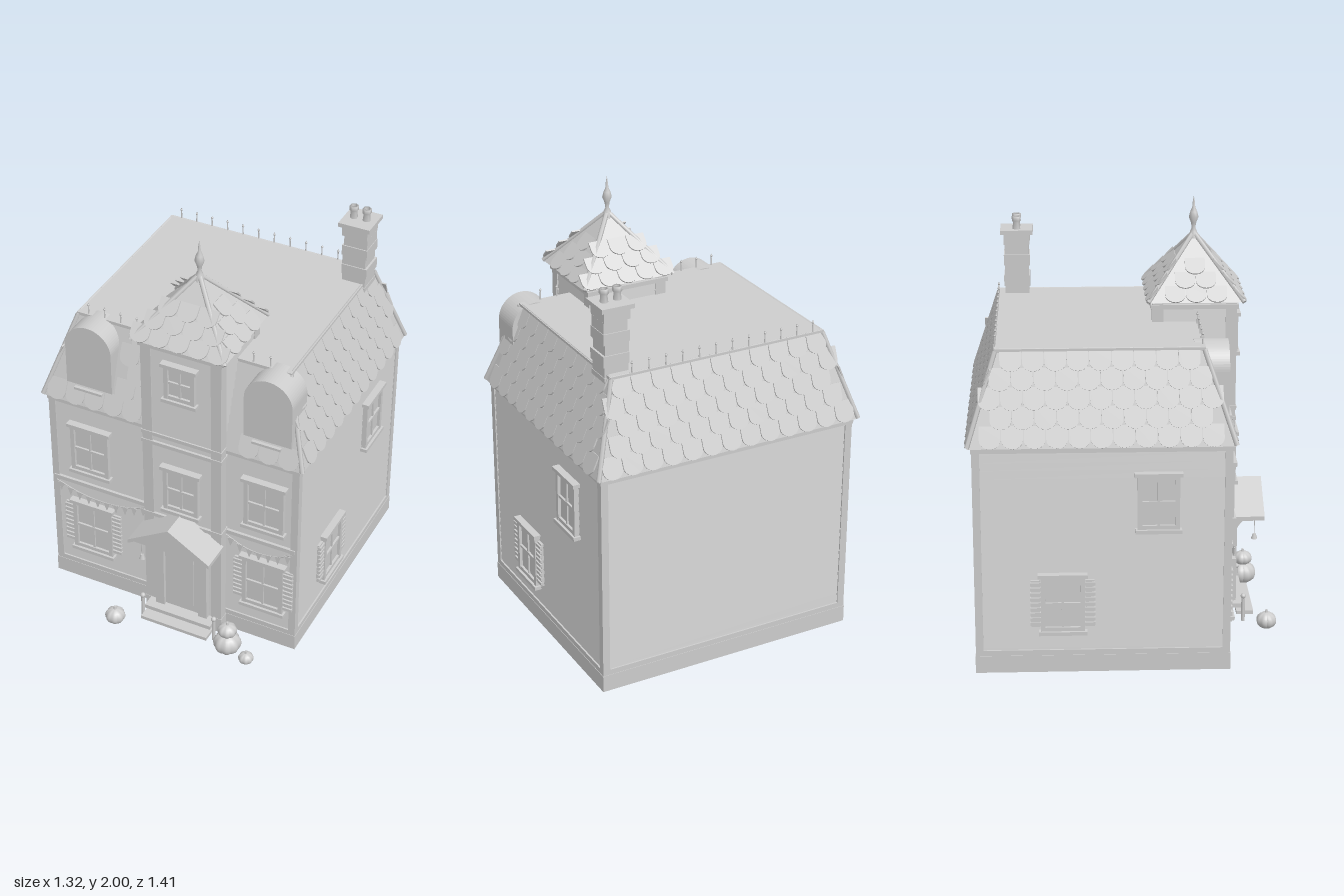
import * as THREE from 'three';
import { mergeGeometries } from 'three/addons/utils/BufferGeometryUtils.js';

const stone = new THREE.MeshStandardMaterial({ color: 0xcccccc, side: THREE.DoubleSide });
stone.name = 'light grey';

export function createModel() {
  const root = new THREE.Group();
  root.name = 'mansion';
  const add = (name, geo, parent = root) => {
    const m = new THREE.Mesh(geo, stone);
    m.name = name;
    parent.add(m);
    return m;
  };
  // box given by its extents
  const boxGeo = (x0, x1, y0, y1, z0, z1) =>
    new THREE.BoxGeometry(x1 - x0, y1 - y0, z1 - z0).translate((x0 + x1) / 2, (y0 + y1) / 2, (z0 + z1) / 2);
  const box = (name, ...e) => add(name, boxGeo(...e));
  const grow = ([x0, x1, z0, z1], d) => [x0 - d, x1 + d, z0 - d, z1 + d];
  const corners = ([x0, x1, z0, z1], y) =>
    [[x0, z1], [x1, z1], [x1, z0], [x0, z0]].map(([x, z]) => new THREE.Vector3(x, y, z));
  // four sloping sides between two rectangles, with optional top
  const frustum = (a, y0, b, y1, cap = false) => {
    const p = [...corners(a, y0), ...corners(b, y1)], idx = [];
    for (let i = 0; i < 4; i++) {
      const j = (i + 1) % 4;
      idx.push(i, j, j + 4, i, j + 4, i + 4);
    }
    if (cap) idx.push(4, 5, 6, 4, 6, 7);
    const g = new THREE.BufferGeometry().setFromPoints(idx.map((i) => p[i]));
    g.computeVertexNormals();
    return g;
  };
  // lapped boards around a rectangle
  const siding = (rect, y0, y1, n) => {
    const parts = [], h = (y1 - y0) / n;
    for (let i = 0; i < n; i++) {
      const y = y0 + i * h, out = grow(rect, 0.007);
      parts.push(frustum(out, y, rect, y + h), frustum(rect, y, out, y));
    }
    return mergeGeometries(parts);
  };
  const rod = (a, b, r, seg = 6) => {
    const d = b.clone().sub(a);
    const g = new THREE.CylinderGeometry(r, r, d.length(), seg);
    g.applyQuaternion(new THREE.Quaternion().setFromUnitVectors(new THREE.Vector3(0, 1, 0), d.normalize()));
    return g.translate((a.x + b.x) / 2, (a.y + b.y) / 2, (a.z + b.z) / 2);
  };
  const extrude = (shape, depth, seg = 8) =>
    new THREE.ExtrudeGeometry(shape, { depth, bevelEnabled: false, curveSegments: seg });

  const house = [-0.617, 0.617, -0.667, 0.442], tower = [-0.105, 0.265, 0.135, 0.495];

  // hollow foundations and clapboard walls
  add('foundation', frustum(grow(house, 0.012), 0, grow(house, 0.012), 0.08, true));
  add('towerFoundation', frustum(grow(tower, 0.012), 0, grow(tower, 0.012), 0.08, true));
  add('houseSiding', siding(house, 0.08, 1.06, 26));
  add('towerSiding', siding(tower, 0.08, 1.56, 39));

  // corner boards, belts and cornices
  const cornerBoards = (name, [x0, x1, z0, z1], y0, y1, w) => {
    for (const x of [x0, x1]) for (const z of [z0, z1]) {
      const sx = x === x0 ? 1 : -1, sz = z === z0 ? 1 : -1;
      const ox = x - sx * 0.01, oz = z - sz * 0.01;
      const xs = [ox, x + sx * w].sort((a, b) => a - b), zs = [oz, z + sz * w].sort((a, b) => a - b);
      box(name, ...xs, y0, y1, ...zs);
    }
  };
  cornerBoards('cornerBoard', house, 0.08, 1.06, 0.024);
  cornerBoards('towerCornerBoard', tower, 0.08, 1.55, 0.04);
  const band = (name, rect, y0, y1, d) => add(name, frustum(grow(rect, d), y0, grow(rect, d), y1, true));
  band('plinthCap', house, 0.075, 0.105, 0.01);
  band('cornice', house, 1.03, 1.065, 0.014);
  box('frontBelt', house[0], house[1], 0.575, 0.595, 0.44, 0.458);
  for (const y of [0.585, 1.0, 1.05]) band('towerBelt', tower, y, y + 0.018, 0.014);
  band('towerCornice', tower, 1.525, 1.545, 0.018);

  // scalloped shingle pointing down, butt end lifted
  const shingle = (w, l) => {
    const s = new THREE.Shape();
    s.moveTo(-w / 2, l);
    s.lineTo(-w / 2, w * 0.42);
    s.absellipse(0, w * 0.42, w / 2, w * 0.42, Math.PI, 2 * Math.PI);
    s.lineTo(w / 2, l);
    return extrude(s, 0.007, 5).rotateX(-0.1).translate(0, 0, 0.006);
  };
  // staggered rows on all four slopes
  const shingleRoof = (name, a, y0, b, y1, rows, w, skip, last = rows) => {
    const A = corners(a, y0), B = corners(b, y1), parts = [];
    for (let i = 0; i < 4; i++) {
      const j = (i + 1) % 4;
      const u = A[j].clone().sub(A[i]).normalize();
      const mid = A[i].clone().add(A[j]).multiplyScalar(0.5);
      const v = B[i].clone().add(B[j]).multiplyScalar(0.5).sub(mid);
      const len = v.length();
      v.normalize();
      const proto = shingle(w * 0.97, (len / rows) * 1.2);
      for (let r = 0; r < last; r++) {
        const t = r / rows, half = THREE.MathUtils.lerp(A[i].distanceTo(A[j]), B[i].distanceTo(B[j]), t) / 2;
        for (let k = -10; k <= 10; k++) {
          const s = (k + (r % 2 ? 0.5 : 0)) * w;
          if (Math.abs(s) > half - w * 0.4) continue;
          const p = mid.clone().addScaledVector(v, t * len - 0.005).addScaledVector(u, s);
          if (skip && skip(p, i)) continue;
          const m = new THREE.Matrix4().makeBasis(u, v, u.clone().cross(v)).setPosition(p);
          parts.push(proto.clone().applyMatrix4(m));
        }
      }
    }
    add(name, mergeGeometries(parts));
    for (let i = 0; i < 4; i++) add(name + 'Hip', rod(A[i], B[i], 0.011));
  };

  // mansard roof
  const dormers = [-0.415, 0.465];
  const eave = [-0.645, 0.645, -0.695, 0.465], deck = [-0.52, 0.52, -0.57, 0.33];
  add('mansardRoof', frustum(eave, 1.055, deck, 1.455));
  add('eaveSoffit', frustum(house, 1.05, eave, 1.055));
  box('roofDeck', -0.525, 0.525, 1.45, 1.465, -0.575, 0.335);
  shingleRoof('mansardShingles', eave, 1.06, deck, 1.455, 5, 0.096, (p, side) =>
    side === 0 && (Math.abs(p.x - 0.08) < 0.21 || (p.y > 1.1 && dormers.some((d) => Math.abs(p.x - d) < 0.13))));

  // iron cresting along front and back of the deck
  for (const z of [-0.57, 0.325]) for (let x = -0.47; x < 0.5; x += 0.081) {
    if (z > 0 && Math.abs(x - 0.08) < 0.2) continue;
    add('crestSpike', new THREE.CylinderGeometry(0.002, 0.004, 0.06, 5).translate(x, 1.49, z));
    add('crestBall', new THREE.SphereGeometry(0.006, 6, 4).translate(x, 1.51, z));
  }

  // tower roof and finial
  const tEave = [-0.145, 0.305, 0.105, 0.535], tip = [0.079, 0.081, 0.319, 0.321];
  add('towerRoof', frustum(tEave, 1.56, tip, 1.83));
  add('towerSoffit', frustum(tower, 1.55, tEave, 1.56));
  shingleRoof('towerShingles', tEave, 1.562, tip, 1.83, 5, 0.093, null, 3);
  const finial = [[0.024, 1.8], [0.016, 1.835], [0.008, 1.85], [0.012, 1.875], [0.022, 1.9], [0.016, 1.925],
    [0.007, 1.945], [0.005, 1.97], [0, 2]].map(([r, y]) => new THREE.Vector2(r, y));
  add('finial', new THREE.LatheGeometry(finial, 10).translate(0.08, 0, 0.32));

  // arched dormers
  for (const x of dormers) {
    const s = new THREE.Shape();
    s.moveTo(-0.115, 1.15);
    s.lineTo(0.115, 1.15);
    s.lineTo(0.115, 1.355);
    s.absarc(0, 1.355, 0.115, 0, Math.PI);
    add('dormer', extrude(s, 0.15, 16).translate(x, 0, 0.29));
    box('dormerSill', x - 0.07, x + 0.07, 1.13, 1.142, 0.42, 0.457);
  }

  // sash window, optionally with louvred shutters
  const windowAt = (x, y, z, w, h, turn = 0, shutters = false) => {
    const g = new THREE.Group();
    g.name = 'window';
    const part = (name, ...e) => add(name, boxGeo(...e), g);
    const a = w / 2, b = h / 2;
    part('glass', -a, a, -b, b, 0, 0.01);
    for (const s of [-1, 1]) {
      part('stile', s * (a - 0.008) - 0.01, s * (a - 0.008) + 0.01, -b, b, 0, 0.024);
      part('rail', -a, a, s * (b - 0.01) - 0.01, s * (b - 0.01) + 0.01, 0, 0.022);
    }
    part('muntin', -0.005, 0.005, -b, b, 0, 0.018);
    part('meetingRail', -a, a, -0.006, 0.006, 0, 0.02);
    part('head', -a - 0.015, a + 0.015, b - 0.005, b + 0.012, 0, 0.034);
    part('sill', -a - 0.012, a + 0.012, -b - 0.015, -b + 0.002, 0, 0.034);
    if (shutters) for (const s of [-1, 1]) {
      const c = s * (a + 0.025);
      part('shutter', c - 0.02, c + 0.02, -b + 0.02, b - 0.02, 0, 0.012);
      for (let i = 0; i < 9; i++) {
        const ly = -b + 0.035 + (i * (h - 0.07)) / 8;
        part('louvre', c - 0.023, c + 0.023, ly - 0.007, ly + 0.007, 0.006, 0.02);
      }
    }
    g.position.set(x, y, z);
    g.rotation.y = turn;
    root.add(g);
  };
  for (const x of dormers) {
    windowAt(x, 0.8, 0.446, 0.19, 0.25);
    windowAt(x, 0.34, 0.446, 0.2, 0.27, 0, true);
  }
  windowAt(0.08, 0.78, 0.499, 0.17, 0.23);
  windowAt(0.08, 1.375, 0.499, 0.145, 0.175);
  const q = Math.PI / 2;
  windowAt(0.621, 0.8, -0.36, 0.18, 0.25, q);
  windowAt(0.621, 0.33, 0.07, 0.19, 0.26, q, true);
  windowAt(-0.621, 0.8, 0.13, 0.18, 0.25, -q);
  windowAt(-0.621, 0.33, -0.29, 0.19, 0.26, -q, true);

  // front door, steps and newel posts
  box('door', -0.01, 0.17, 0.08, 0.49, 0.49, 0.512);
  for (const s of [-1, 1]) box('doorJamb', 0.08 + s * 0.11 - 0.022, 0.08 + s * 0.11 + 0.022, 0.08, 0.5, 0.49, 0.53);
  box('doorHead', -0.05, 0.21, 0.485, 0.51, 0.49, 0.535);
  box('doorPanel', 0.02, 0.14, 0.12, 0.46, 0.51, 0.518);
  box('topStep', -0.09, 0.25, 0.06, 0.08, 0.49, 0.57);
  box('lowStep', -0.09, 0.25, 0.025, 0.042, 0.53, 0.61);
  for (const x of [-0.105, 0.265]) {
    add('newelPost', new THREE.CylinderGeometry(0.009, 0.009, 0.12, 8).translate(x, 0.06, 0.56));
    add('newelBall', new THREE.SphereGeometry(0.013, 8, 6).translate(x, 0.125, 0.56));
  }

  // gabled door hood with brackets and hanging lantern
  const poly = (pts) => new THREE.Shape(pts.map(([x, y]) => new THREE.Vector2(x, y)));
  add('hoodRoof', extrude(poly([[-0.205, 0.51], [-0.205, 0.53], [0, 0.655], [0.205, 0.53], [0.205, 0.51], [0, 0.633]]), 0.15)
    .translate(0.08, 0, 0.5));
  add('hoodPediment', extrude(poly([[-0.185, 0.51], [0.185, 0.51], [0, 0.635]]), 0.13).translate(0.08, 0, 0.5));
  for (const x of [-0.075, 0.215]) {
    const s = new THREE.Shape();
    s.moveTo(0.5, 0.4);
    s.lineTo(0.5, 0.515);
    s.lineTo(0.6, 0.515);
    s.quadraticCurveTo(0.52, 0.5, 0.513, 0.4);
    add('hoodBracket', extrude(s, 0.022).rotateY(-q).translate(x + 0.011, 0, 0));
  }
  add('lanternCord', new THREE.CylinderGeometry(0.002, 0.002, 0.1, 5).translate(-0.075, 0.47, 0.608));
  add('lantern', new THREE.CylinderGeometry(0.007, 0.015, 0.025, 6).translate(-0.075, 0.415, 0.608));

  // swagged garlands with hanging pennants
  for (const [x0, x1] of [[-0.6, -0.12], [0.28, 0.61]]) {
    const at = (t) => new THREE.Vector3(x0 + (x1 - x0) * t, 0.575 - 0.2 * t * (1 - t), 0.465);
    const path = new THREE.CatmullRomCurve3([0, 0.25, 0.5, 0.75, 1].map(at));
    add('garland', new THREE.TubeGeometry(path, 20, 0.003, 5));
    const n = Math.round((x1 - x0) / 0.05);
    for (let i = 0; i < n; i++) {
      const p = at((i + 0.5) / n);
      add('pennant', extrude(poly([[-0.015, 0], [0, -0.045], [0.015, 0]]), 0.003).translate(p.x, p.y, p.z));
    }
  }

  // chimney of uneven courses with two pots
  for (let i = 0; i < 9; i++) {
    const w = 0.061 - (i % 2) * 0.005, dx = 0.003 * Math.sin(i * 2.1), y = 1.3 + i * 0.05;
    box('chimneyCourse', 0.478 + dx - w, 0.478 + dx + w, y, y + 0.05, -0.484 - w, -0.484 + w);
  }
  box('chimneyCap', 0.4, 0.552, 1.75, 1.77, -0.56, -0.408);
  const pot = [[0.019, 1.765], [0.015, 1.8], [0.021, 1.81], [0.021, 1.83], [0.011, 1.83], [0.011, 1.77]]
    .map(([r, y]) => new THREE.Vector2(r, y));
  for (const x of [0.443, 0.505]) add('chimneyPot', new THREE.LatheGeometry(pot, 6).translate(x, 0, -0.484));

  // ribbed pumpkins
  const pumpkin = (x, y, z, r, h) => {
    const g = new THREE.SphereGeometry(r, 32, 12), p = g.attributes.position;
    for (let i = 0; i < p.count; i++) {
      const k = 0.9 + 0.1 * Math.abs(Math.sin(4 * Math.atan2(p.getZ(i), p.getX(i))));
      p.setXYZ(i, p.getX(i) * k, p.getY(i) * (h / (2 * r)), p.getZ(i) * k);
    }
    g.computeVertexNormals();
    add('pumpkin', g.translate(x, y + h / 2, z));
    add('pumpkinStem', new THREE.CylinderGeometry(r * 0.1, r * 0.17, r * 0.35, 6).translate(x, y + h + r * 0.1, z));
  };
  pumpkin(-0.2, 0.003, 0.66, 0.048, 0.08);
  pumpkin(0.355, 0, 0.6, 0.066, 0.11);
  pumpkin(0.355, 0.095, 0.6, 0.046, 0.07);
  pumpkin(0.465, 0, 0.63, 0.036, 0.058);
  return root;
}
